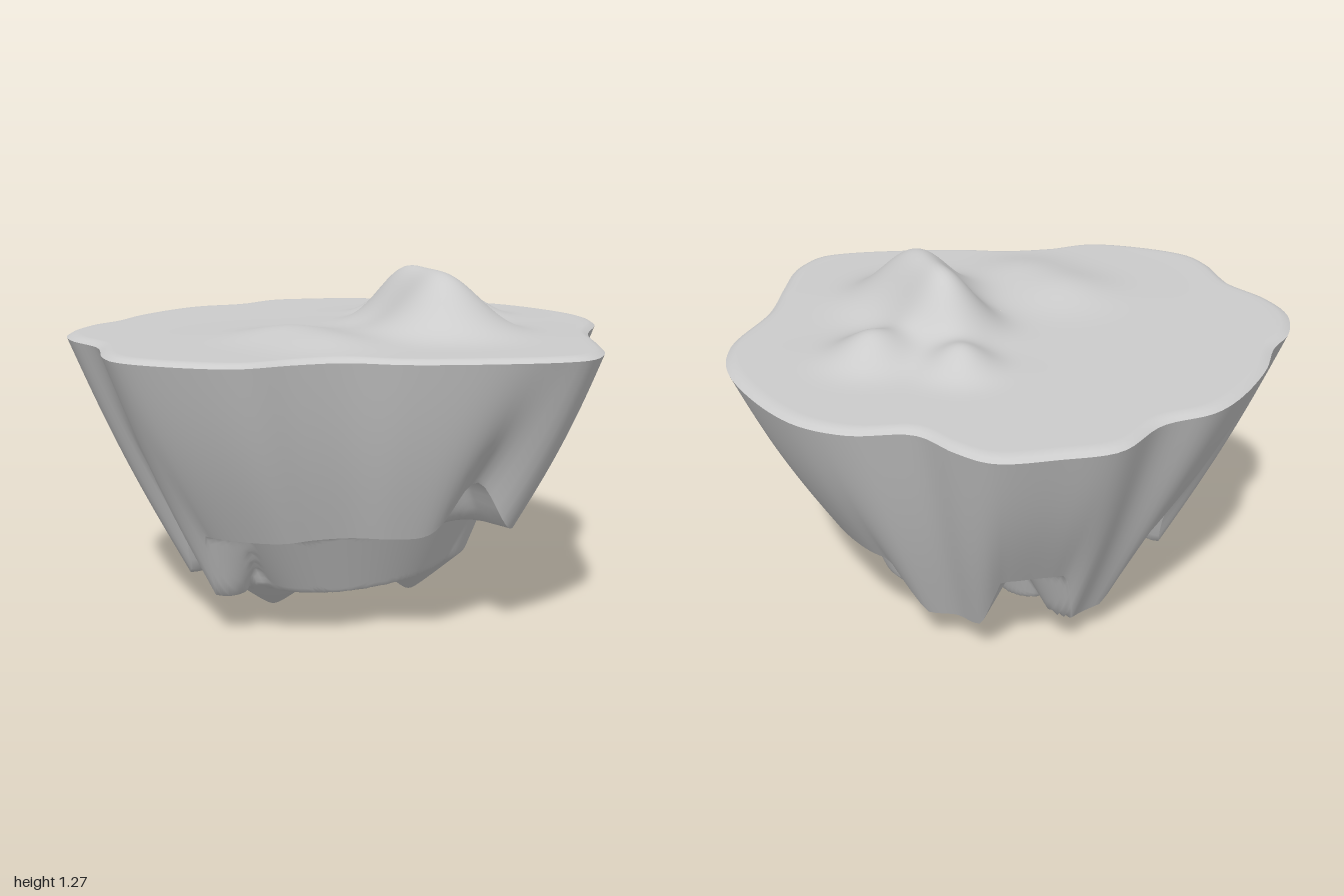
import * as THREE from 'three';

// Rim outline seen from above: x, z pairs, from +x round through +z
const RIM = [
  0.99, -0.17, 0.95, 0.24, 0.83, 0.43, 0.57, 0.6, 0.41, 0.76, 0.25, 0.91, 0.12, 0.96, 0.02, 0.93,
  -0.19, 0.79, -0.37, 0.64, -0.49, 0.5, -0.64, 0.41, -0.8, 0.35, -0.92, 0.2, -1, 0, -0.98, -0.11,
  -0.88, -0.31, -0.86, -0.51, -0.8, -0.64, -0.66, -0.75, -0.53, -0.79, -0.37, -0.88, -0.13, -0.96,
  0, -0.97, 0.17, -0.92, 0.38, -0.95, 0.54, -0.87, 0.7, -0.76, 0.74, -0.64, 0.76, -0.48, 0.91, -0.35,
];
// Hills on the ground: x, z, height, spread
const HILLS = [
  [0.13, 0.32, 0.18, 0.13], [0.2, 0.15, 0.1, 0.1], [0.23, 0, 0.16, 0.1],
  [0.38, -0.24, 0.075, 0.075], [0.54, 0.02, 0.09, 0.09], [-0.33, 0.02, 0.04, 0.13], [-0.36, 0.27, 0.03, 0.12],
];
// Hanging rock tips: x, y, z, slope, radius where the sides turn steep
const TIPS = [
  [0.28, 0, 0, 0.9, 0.22], [-0.3, 0.05, -0.12, 0.8, 0.2], [0.5, 0.13, -0.32, 0.5, 0.1],
  [0.1, 0.12, -0.5, 0.4, 0.1], [0.12, 0.11, -0.3, 0.5, 0.12], [-0.52, 0.14, -0.1, 0.5, 0.07],
  [-0.46, 0.14, -0.4, 0.5, 0.1],
];
const N = 180;
const FLOOR = 0.41;

const groundY = (x, z) => HILLS.reduce((y, [hx, hz, h, s]) =>
  y + h * Math.exp(-((x - hx) ** 2 + (z - hz) ** 2) / (2 * s * s)), 1.05);

function undersideY(x, z) {
  // flat floor with a notch in the front edge
  const notch = 0.19 * Math.exp(-(((x + 0.02) / 0.08) ** 2)) * THREE.MathUtils.smoothstep(z, 0.42, 0.55);
  let y = FLOOR + notch;
  // lower rock mass
  y = Math.min(y, 0.17 + 0.6 * Math.max(0, Math.hypot(x / 0.42, z / 0.27) - 1));
  // tips
  for (const [tx, ty, tz, k, r] of TIPS) {
    const d = Math.hypot(x - tx, z - tz);
    y = Math.min(y, ty + Math.sqrt((k * d) ** 2 + 0.0004) - 0.02 + 1.7 * Math.max(0, d - r));
  }
  return Math.max(y, 0);
}

// Skin of rings; point(rimPoint, t) places each vertex, t runs 0..1 across the rings
function skin(name, rim, rings, point, material) {
  const pos = [], index = [];
  for (let i = 0; i <= rings; i++) {
    for (const p of rim) pos.push(...point(p, i / rings));
  }
  for (let i = 0; i < rings; i++) {
    for (let j = 0; j < N; j++) {
      const k = (j + 1) % N;
      const a = i * N + j, b = i * N + k, c = a + N, d = b + N;
      index.push(a, b, c, b, d, c);
    }
  }
  const g = new THREE.BufferGeometry();
  g.setAttribute('position', new THREE.Float32BufferAttribute(pos, 3));
  g.setIndex(index);
  g.computeVertexNormals();
  const mesh = new THREE.Mesh(g, material);
  mesh.name = name;
  return mesh;
}

export function createModel() {
  const group = new THREE.Group();
  group.name = 'floatingIsland';
  const material = new THREE.MeshStandardMaterial({ color: 0xcccccc, roughness: 0.9 });

  const corners = [];
  for (let i = 0; i < RIM.length; i += 2) corners.push(new THREE.Vector3(RIM[i], 0, RIM[i + 1]));
  const rim = new THREE.CatmullRomCurve3(corners, true).getSpacedPoints(N).slice(0, N);

  // Bottom edge of the cliff: lower places pull further in
  for (const p of rim) {
    p.inset = 0.64;
    for (let i = 0; i < 6; i++) {
      p.foot = undersideY(p.x * p.inset, p.z * p.inset);
      p.inset = 0.68 - Math.max(0, FLOOR - p.foot) * 0.3;
    }
    p.foot = undersideY(p.x * p.inset, p.z * p.inset);
  }

  // Ground with hills, rounded over at the rim
  group.add(skin('ground', rim, 60, (p, t) => {
    const r = 0.002 + 0.998 * t;
    const x = p.x * r, z = p.z * r;
    return [x, groundY(x, z) - 0.015 * Math.max(0, (r - 0.96) / 0.04) ** 2, z];
  }, material));

  // Cliff wall: a taper with a slight bulge
  group.add(skin('cliff', rim, 30, (p, t) => {
    const top = groundY(p.x, p.z) - 0.015;
    const r = THREE.MathUtils.lerp(1, p.inset, t) + 0.018 * Math.sin(Math.PI * t);
    return [p.x * r, THREE.MathUtils.lerp(top, p.foot, t), p.z * r];
  }, material));

  // Rocky underside
  group.add(skin('underside', rim, 70, (p, t) => {
    const r = p.inset * (1 - 0.998 * t);
    return [p.x * r, undersideY(p.x * r, p.z * r), p.z * r];
  }, material));

  return group;
}
